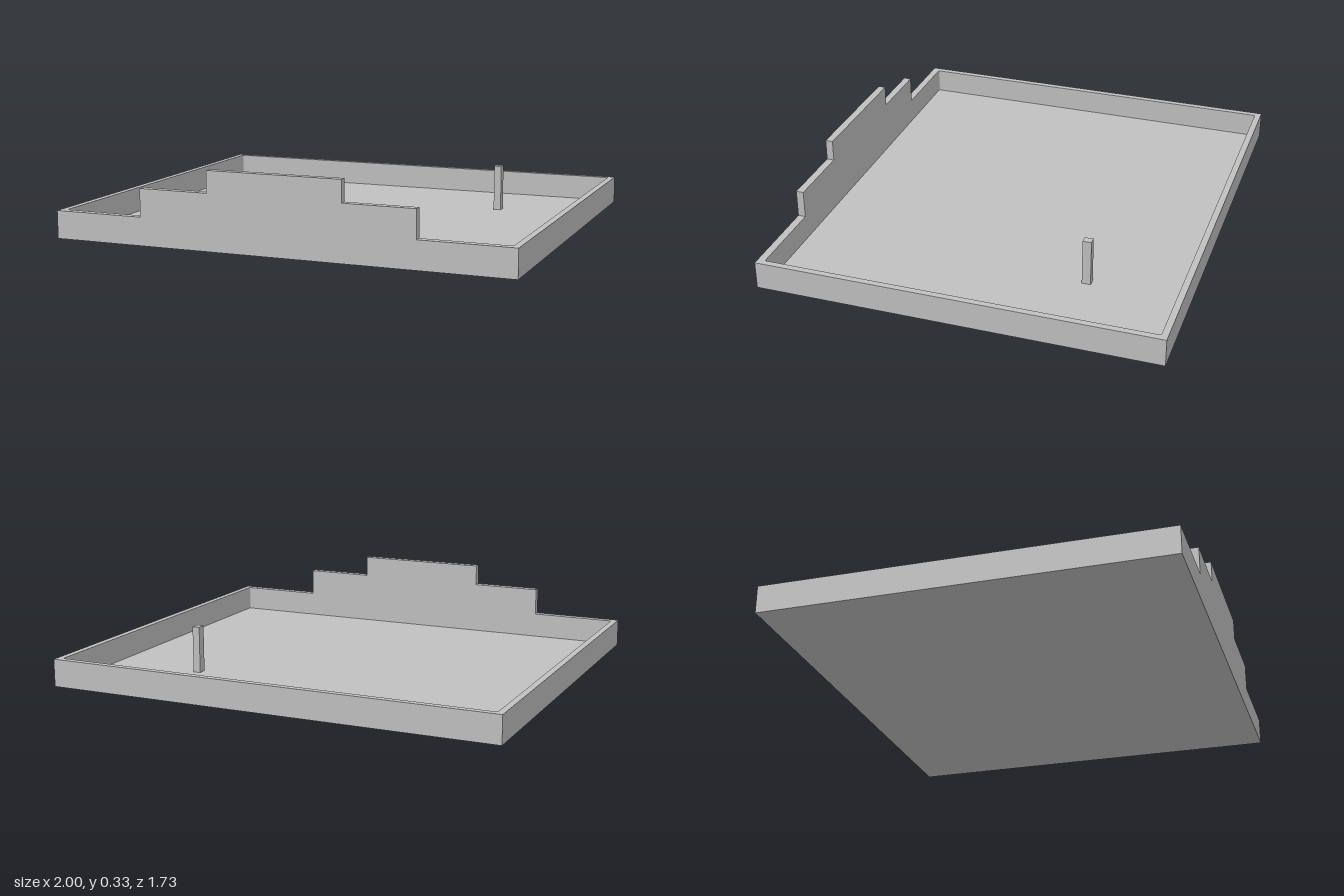
import * as THREE from 'three';

const W = 1, D = 0.865, RIM = 0.12, FLOOR = 0.01;

export function createModel() {
  const group = new THREE.Group();
  const grey = new THREE.MeshStandardMaterial({ color: 0xc0c0c0 });
  grey.name = 'light grey';

  const add = (name, geometry) => {
    const mesh = new THREE.Mesh(geometry, grey);
    mesh.name = name;
    group.add(mesh);
  };
  const box = (name, x0, x1, y0, y1, z0, z1) => {
    const g = new THREE.BoxGeometry(x1 - x0, y1 - y0, z1 - z0);
    g.translate((x0 + x1) / 2, (y0 + y1) / 2, (z0 + z1) / 2);
    add(name, g);
  };

  // Thin base slab
  box('floor', -W, W, 0, FLOOR, -D, D);

  // Perimeter wall with a slightly rounded inner opening
  const outline = new THREE.Shape([
    new THREE.Vector2(-W, -D), new THREE.Vector2(W, -D),
    new THREE.Vector2(W, D), new THREE.Vector2(-W, D),
  ]);
  const hole = new THREE.Path();
  const x = 0.972, y0 = -0.832, y1 = 0.837, r = 0.008;
  hole.absarc(x - r, y1 - r, r, 0, Math.PI / 2);
  hole.absarc(-x + r, y1 - r, r, Math.PI / 2, Math.PI);
  hole.absarc(-x + r, y0 + r, r, Math.PI, Math.PI * 1.5);
  hole.absarc(x - r, y0 + r, r, Math.PI * 1.5, Math.PI * 2);
  hole.closePath();
  outline.holes.push(hole);
  const wall = new THREE.ExtrudeGeometry(outline, {
    depth: RIM - FLOOR, bevelEnabled: false, curveSegments: 4,
  });
  wall.rotateX(-Math.PI / 2);
  wall.translate(0, FLOOR, 0);
  add('perimeterWall', wall);

  // Stepped parapet on the front wall
  const steps = new THREE.Shape([
    [-0.6, RIM], [0.6, RIM], [0.6, 0.24], [0.293, 0.24],
    [0.293, 0.333], [-0.293, 0.333], [-0.293, 0.24], [-0.6, 0.24],
  ].map(p => new THREE.Vector2(...p)));
  const parapet = new THREE.ExtrudeGeometry(steps, { depth: 0.033, bevelEnabled: false });
  parapet.translate(0, 0, D - 0.033);
  add('steppedParapet', parapet);

  // Small free-standing post
  box('post', 0.533, 0.566, FLOOR, 0.214, -0.443, -0.405);

  return group;
}
